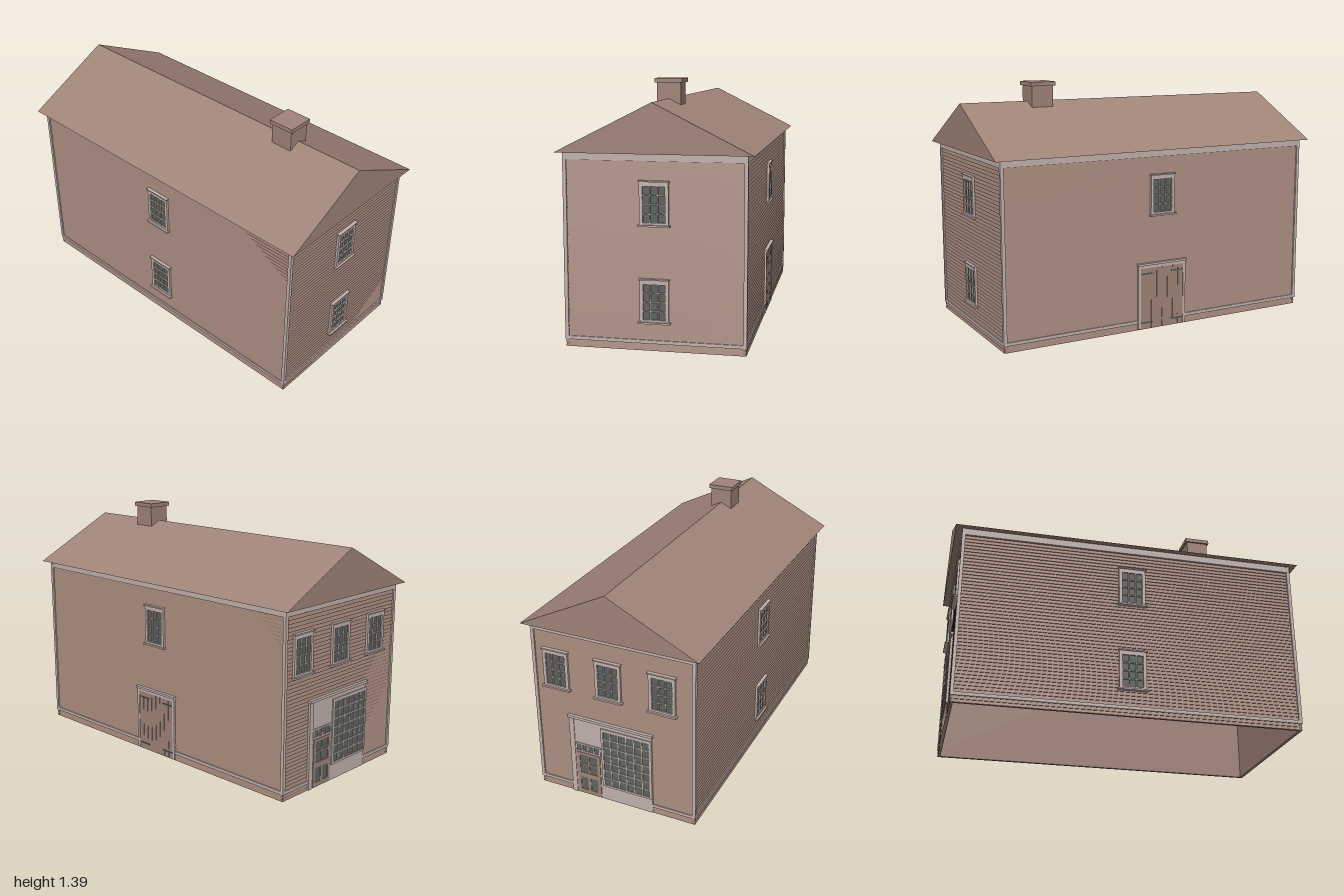
import * as THREE from 'three';

const flat = (name, color) => {
  const m = new THREE.MeshStandardMaterial({ color });
  m.name = name;
  return m;
};
const brown = flat('brown wood', 0xa08478);
const pale = flat('pale trim', 0xc2b2ae);
const grey = flat('dark grey glass', 0x5e6460);

function add(parent, name, geometry, material) {
  const m = new THREE.Mesh(geometry, material);
  m.name = name;
  parent.add(m);
  return m;
}

// Box given by its limits
function box(parent, name, mat, x0, x1, y0, y1, z0, z1) {
  const g = new THREE.BoxGeometry(x1 - x0, y1 - y0, z1 - z0);
  g.translate((x0 + x1) / 2, (y0 + y1) / 2, (z0 + z1) / 2);
  return add(parent, name, g, mat);
}

function rectangle(Type, x0, x1, y0, y1) {
  const p = new Type();
  p.moveTo(x0, y0).lineTo(x1, y0).lineTo(x1, y1).lineTo(x0, y1).closePath();
  return p;
}

// Overlapping boards: a saw-tooth section drawn out along the wall
function clapboards(parent, name, length, y0, y1, count, out) {
  const s = new THREE.Shape();
  s.moveTo(-0.012, y0);
  const step = (y1 - y0) / count;
  for (let i = 0; i < count; i++) {
    s.lineTo(out, y0 + i * step);
    s.lineTo(out - 0.005, y0 + (i + 1) * step);
  }
  s.lineTo(-0.012, y1);
  const g = new THREE.ExtrudeGeometry(s, { depth: length, bevelEnabled: false });
  g.rotateY(-Math.PI / 2);
  g.translate(length / 2, 0, 0);
  add(parent, name, g, brown);
}

// Frame with a grid of openings and a glass plate behind it
function glazing(parent, name, outer, inner, cols, rows, bar, z, depth, mat = pale) {
  const s = rectangle(THREE.Shape, ...outer);
  const [x0, x1, y0, y1] = inner;
  const w = (x1 - x0 + bar) / cols, h = (y1 - y0 + bar) / rows;
  for (let c = 0; c < cols; c++)
    for (let r = 0; r < rows; r++) {
      const x = x0 + c * w, y = y0 + r * h;
      s.holes.push(rectangle(THREE.Path, x, x + w - bar, y, y + h - bar));
    }
  const g = new THREE.ExtrudeGeometry(s, { depth, bevelEnabled: false });
  g.translate(0, 0, z);
  add(parent, name + ' frame', g, mat);
  box(parent, name + ' glass', grey, x0, x1, y0, y1, z, z + depth * 0.4);
}

function sashWindow(wall, x, y) {
  const g = new THREE.Group();
  g.name = 'window';
  g.position.set(x, y, 0);
  glazing(g, 'window', [-0.076, 0.076, 0.008, 0.228], [-0.058, 0.058, 0.02, 0.205], 3, 4, 0.006, 0, 0.013);
  box(g, 'window cap', pale, -0.081, 0.081, 0.228, 0.235, 0, 0.02);
  box(g, 'window sill', pale, -0.084, 0.084, 0, 0.009, 0, 0.024);
  wall.add(g);
}

// Wall in its own frame: x along it, y up, z outward
function makeWall(name, half, distance, angle) {
  const w = new THREE.Group();
  w.name = name;
  w.rotation.y = angle;
  w.position.set(Math.sin(angle) * distance, 0, Math.cos(angle) * distance);
  clapboards(w, 'siding', half * 2, 0.036, 1.02, 49, 0.002);
  clapboards(w, 'foundation', half * 2 + 0.008, 0, 0.036, 2, 0.005);
  box(w, 'frieze board', pale, -half, half, 0.982, 1.02, 0, 0.007);
  box(w, 'base board', pale, -half, half, 0.038, 0.056, 0, 0.008);
  for (const s of [-1, 1]) {
    const a = s * (half - 0.011), b = s * (half + 0.008);
    box(w, 'corner board', pale, Math.min(a, b), Math.max(a, b), 0.038, 1.02, -0.008, 0.008);
  }
  return w;
}

// Double plank door with strap hinges
function barnDoor(wall) {
  const g = new THREE.Group();
  g.name = 'barnDoor';
  for (const s of [-1, 1]) {
    box(g, 'door post', pale, s * 0.147 - 0.008, s * 0.147 + 0.008, 0.005, 0.37, 0, 0.012);
    for (const y of [0.322, 0.038])
      box(g, 'strap hinge', grey, s * 0.099 - 0.041, s * 0.099 + 0.041, y - 0.004, y + 0.004, 0.009, 0.012);
  }
  for (let i = 0; i < 8; i++) {
    const x = -0.14 + i * 0.035;
    box(g, 'plank', brown, x + 0.001, x + 0.034, 0.005, 0.356, 0, 0.009);
  }
  box(g, 'door gaps', brown, -0.14, 0.14, 0.005, 0.356, 0, 0.007);
  box(g, 'door lintel', pale, -0.155, 0.155, 0.355, 0.372, 0, 0.012);
  box(g, 'door cap', pale, -0.16, 0.16, 0.372, 0.384, 0, 0.02);
  wall.add(g);
}

// Shop front with a glazed door beside a large many-paned window
function shopFront(wall) {
  const g = new THREE.Group();
  g.name = 'shopFront';
  box(g, 'shop surround', pale, -0.272, 0.225, 0, 0.49, -0.002, 0.008);
  box(g, 'shop cornice', pale, -0.278, 0.231, 0.488, 0.503, 0, 0.018);
  box(g, 'shop pilaster', pale, -0.272, -0.243, 0, 0.488, 0, 0.012);
  glazing(g, 'shop window', [-0.078, 0.225, 0.09, 0.465], [-0.065, 0.212, 0.102, 0.45], 6, 7, 0.006, 0.008, 0.006);
  glazing(g, 'transom', [-0.24, -0.085, 0.278, 0.335], [-0.232, -0.093, 0.288, 0.328], 4, 1, 0.006, 0.008, 0.004);
  glazing(g, 'shop door upper', [-0.235, -0.09, 0.13, 0.275], [-0.216, -0.109, 0.142, 0.26], 2, 2, 0.007, 0.008, 0.004, brown);
  glazing(g, 'shop door lower', [-0.235, -0.09, 0.004, 0.13], [-0.216, -0.109, 0.03, 0.112], 2, 1, 0.018, 0.008, 0.004, brown);
  wall.add(g);
}

export function createModel() {
  const house = new THREE.Group();
  house.name = 'house';

  const front = makeWall('frontWall', 0.47, 0.955, 0);
  const back = makeWall('backWall', 0.47, 0.955, Math.PI);
  const left = makeWall('leftWall', 0.955, 0.47, Math.PI / 2);
  const right = makeWall('rightWall', 0.955, 0.47, -Math.PI / 2);

  // Openings
  sashWindow(front, 0, 0.65);
  sashWindow(front, 0, 0.145);
  sashWindow(left, 0, 0.65);
  barnDoor(left);
  sashWindow(right, 0, 0.65);
  sashWindow(right, 0, 0.145);
  for (const x of [-0.335, -0.022, 0.291]) sashWindow(back, x, 0.65);
  shopFront(back);
  house.add(front, back, left, right);

  // Gabled roof
  const gable = new THREE.Shape();
  gable.moveTo(-0.513, 1.02).lineTo(0.513, 1.02).lineTo(0, 1.278).closePath();
  const roof = new THREE.ExtrudeGeometry(gable, { depth: 2, bevelEnabled: false });
  roof.translate(0, 0, -1);
  add(house, 'roof', roof, brown);

  // Chimney
  box(house, 'chimney stack', brown, -0.065, 0.065, 1.2, 1.365, 0.473, 0.602);
  box(house, 'chimney cap', brown, -0.075, 0.075, 1.363, 1.386, 0.462, 0.612);
  return house;
}
